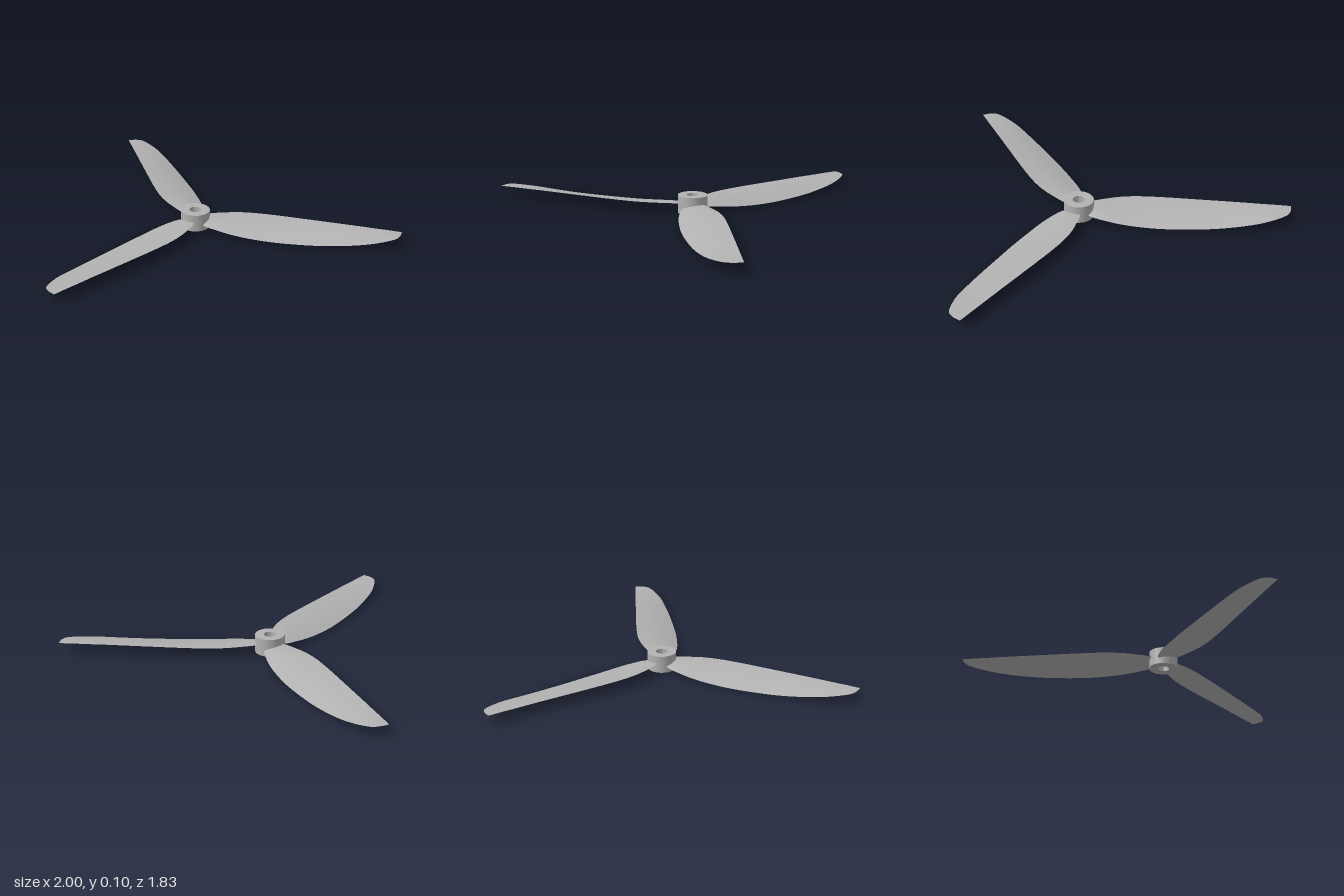
import * as THREE from 'three';
import { toCreasedNormals } from 'three/addons/utils/BufferGeometryUtils.js';

// Blade stations: radius, low edge x, low edge y, high edge x, high edge y
const STATIONS = [
  [0.05, -0.05, 0.036, 0.045, 0.053],
  [0.08, -0.068, 0.033, 0.066, 0.055],
  [0.14, -0.082, 0.028, 0.09, 0.056],
  [0.22, -0.094, 0.02, 0.117, 0.057],
  [0.32, -0.098, 0.012, 0.134, 0.057],
  [0.45, -0.096, 0.007, 0.14, 0.057],
  [0.6, -0.083, 0.007, 0.141, 0.057],
  [0.75, -0.065, 0.012, 0.141, 0.057],
  [0.88, -0.042, 0.022, 0.141, 0.057],
  [0.98, -0.018, 0.033, 0.141, 0.056],
  [1.06, 0.015, 0.043, 0.141, 0.056],
  [1.11, 0.045, 0.05, 0.141, 0.055],
  [1.13, 0.068, 0.053, 0.141, 0.055],
  [1.14, 0.1, 0.055, 0.14, 0.055],
];
const ROWS = 52;
const COLS = 12;

// One sheet of the blade skin; side is +1 for the upper face, -1 for the lower
function bladeSheet(side) {
  const low = new THREE.CatmullRomCurve3(
    STATIONS.map(([r, x, y]) => new THREE.Vector3(x, y, r)), false, 'catmullrom');
  const high = new THREE.CatmullRomCurve3(
    STATIONS.map(([r, , , x, y]) => new THREE.Vector3(x, y, r)), false, 'catmullrom');
  const positions = [];
  const indices = [];
  for (let i = 0; i <= ROWS; i++) {
    const a = low.getPoint(i / ROWS);
    const b = high.getPoint(i / ROWS);
    const taper = Math.sqrt(Math.max(0, 1 - a.z / 1.14));
    for (let j = 0; j <= COLS; j++) {
      const u = j / COLS;
      const p = a.clone().lerp(b, u);
      // gentle camber plus half the thickness
      p.y += Math.sin(Math.PI * u) * taper * (0.005 + side * 0.005);
      positions.push(p.x, p.y, p.z);
      if (i < ROWS && j < COLS) {
        const k = i * (COLS + 1) + j;
        const n = k + COLS + 1;
        if (side > 0) indices.push(k, n, k + 1, k + 1, n, n + 1);
        else indices.push(k, k + 1, n, k + 1, n + 1, n);
      }
    }
  }
  const geometry = new THREE.BufferGeometry();
  geometry.setAttribute('position', new THREE.Float32BufferAttribute(positions, 3));
  geometry.setIndex(indices);
  geometry.computeVertexNormals();
  return geometry;
}

export function createModel() {
  const model = new THREE.Group();
  model.name = 'propeller';
  const grey = new THREE.MeshStandardMaterial({ color: 0xb2b2b2 });
  grey.name = 'light grey';

  const rotor = new THREE.Group();
  rotor.name = 'rotor';
  rotor.position.set(0.055, 0, -0.23);
  model.add(rotor);

  // Hub ring with a shaft hole
  const profile = [[0.033, 0], [0.081, 0], [0.081, 0.098], [0.033, 0.098], [0.033, 0]]
    .map(([x, y]) => new THREE.Vector2(x, y));
  const hub = new THREE.Mesh(
    toCreasedNormals(new THREE.LatheGeometry(profile, 48), Math.PI / 6), grey);
  hub.name = 'hub';
  rotor.add(hub);

  // Three twisted blades
  const upper = bladeSheet(1);
  const lower = bladeSheet(-1);
  for (let i = 0; i < 3; i++) {
    const blade = new THREE.Group();
    blade.name = `blade${i + 1}`;
    const top = new THREE.Mesh(upper, grey);
    top.name = 'bladeUpperFace';
    const bottom = new THREE.Mesh(lower, grey);
    bottom.name = 'bladeLowerFace';
    blade.add(top, bottom);
    blade.rotation.y = (i * Math.PI * 2) / 3;
    rotor.add(blade);
  }
  return model;
}
